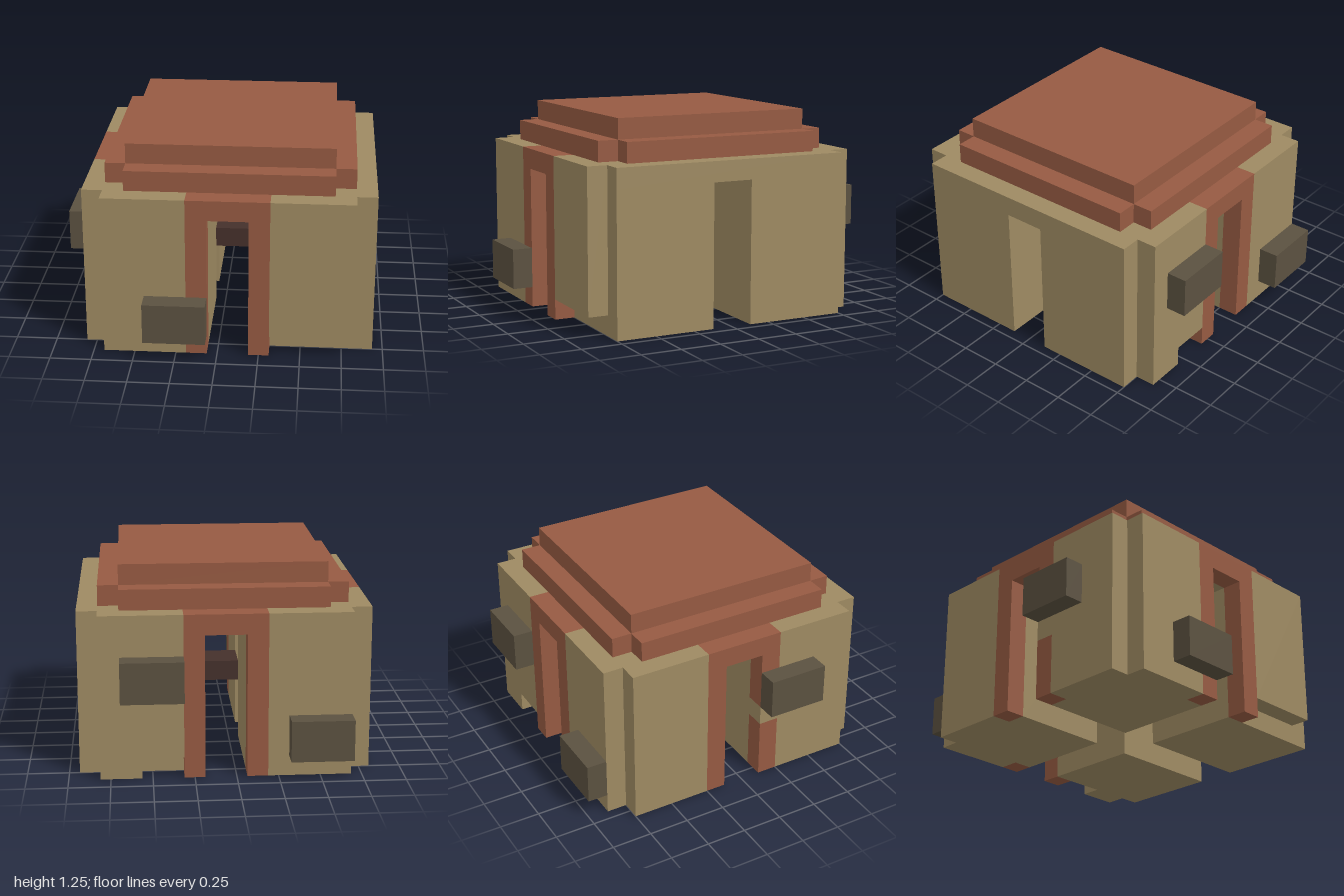
import * as THREE from 'three';

const U = 0.125; // one block

function material(name, color) {
  const m = new THREE.MeshStandardMaterial({ color });
  m.name = name;
  return m;
}

export function createModel() {
  const tan = material('sandstone', 0x9e8a62);
  const red = material('terracotta', 0x965a42);
  const grey = material('darkStone', 0x5b5140);
  const dark = material('darkWood', 0x45302b);

  const model = new THREE.Group();
  model.name = 'hut';
  model.position.x = 0.0625;

  // Box between two corners, measured in blocks
  function block(name, mat, [x0, x1], [y0, y1], [z0, z1], parent = model) {
    const mesh = new THREE.Mesh(
      new THREE.BoxGeometry((x1 - x0) * U, (y1 - y0) * U, (z1 - z0) * U), mat);
    mesh.position.set((x0 + x1) / 2 * U, (y0 + y1) / 2 * U, (z0 + z1) / 2 * U);
    mesh.name = name;
    parent.add(mesh);
  }
  const span = (s, a, b) => (s > 0 ? [a, b] : [-b, -a]);

  // Four solid corners around the crossing passages
  for (const sx of [-1, 1])
    for (const sz of [-1, 1])
      block('cornerCore', tan, span(sx, 1, 6), [0, 7], span(sz, 1, 6));
  block('ceiling', tan, [-6, 6], [7, 8], [-6, 6]);

  // Front and back walls, with gaps at the foot of the left panels
  block('frontPanel', tan, [-6, -2], [0, 8], [6, 7]);
  block('frontPanel', tan, [2, 6], [1, 8], [6, 7]);
  block('backPanel', tan, [-6, -2], [0, 8], [-7, -6]);
  block('backPanel', tan, [2, 6], [1, 8], [-7, -6]);
  block('backPanelFoot', tan, [4, 6], [0, 1], [-7, -6]);

  // Side walls
  for (const s of [-1, 1]) {
    block('rightPanel', tan, [-7, -6], [0, 8], span(s, 2, 6));
    block('leftPanel', tan, [6, 7], [0, 7], span(s, 1, 6));
  }
  block('leftLintel', tan, [6, 7], [7, 8], [-6, 6]);

  // Front and back door frames
  for (const sz of [-1, 1]) {
    const frame = new THREE.Group();
    frame.name = sz > 0 ? 'frontDoorFrame' : 'backDoorFrame';
    model.add(frame);
    for (const sx of [-1, 1])
      block('doorPost', red, span(sx, 1, 2), [0, 7], span(sz, 6, 7), frame);
    block('doorLintel', red, [-2, 2], [7, 8], span(sz, 6, 7), frame);
  }

  // Right door frame, with one plain stone in its front post
  const rightFrame = new THREE.Group();
  rightFrame.name = 'rightDoorFrame';
  model.add(rightFrame);
  block('doorPost', red, [-7, -6], [0, 7], [-2, -1], rightFrame);
  block('doorPostLower', red, [-7, -6], [0, 3], [1, 2], rightFrame);
  block('doorPostStone', tan, [-7, -6], [3, 4], [1, 2], rightFrame);
  block('doorPostUpper', red, [-7, -6], [4, 7], [1, 2], rightFrame);
  block('doorLintel', red, [-7, -6], [7, 8], [-2, 2], rightFrame);

  // Block where the passages cross
  block('centreBlock', dark, [-1, 1], [3, 4], [-1, 1]);

  // Stepped roof, lower tier with notched corners
  block('roofLower', red, [-6, 6], [8, 9], [-5, 5]);
  for (const s of [-1, 1])
    block('roofLowerEdge', red, [-5, 5], [8, 9], span(s, 5, 6));
  block('roofUpper', red, [-5, 5], [9, 10], [-5, 5]);

  // Stones standing out from the walls
  block('frontStone', grey, [-4, -1], [1, 3], [7, 8]);
  block('backStoneHigh', grey, [2, 5], [4, 6], [-8, -7]);
  block('backStoneLow', grey, [-6, -3], [1, 3], [-8, -7]);
  block('rightStone', grey, [-8, -7], [4, 6], [1, 4]);

  const root = new THREE.Group();
  root.name = 'model';
  root.add(model);
  return root;
}
